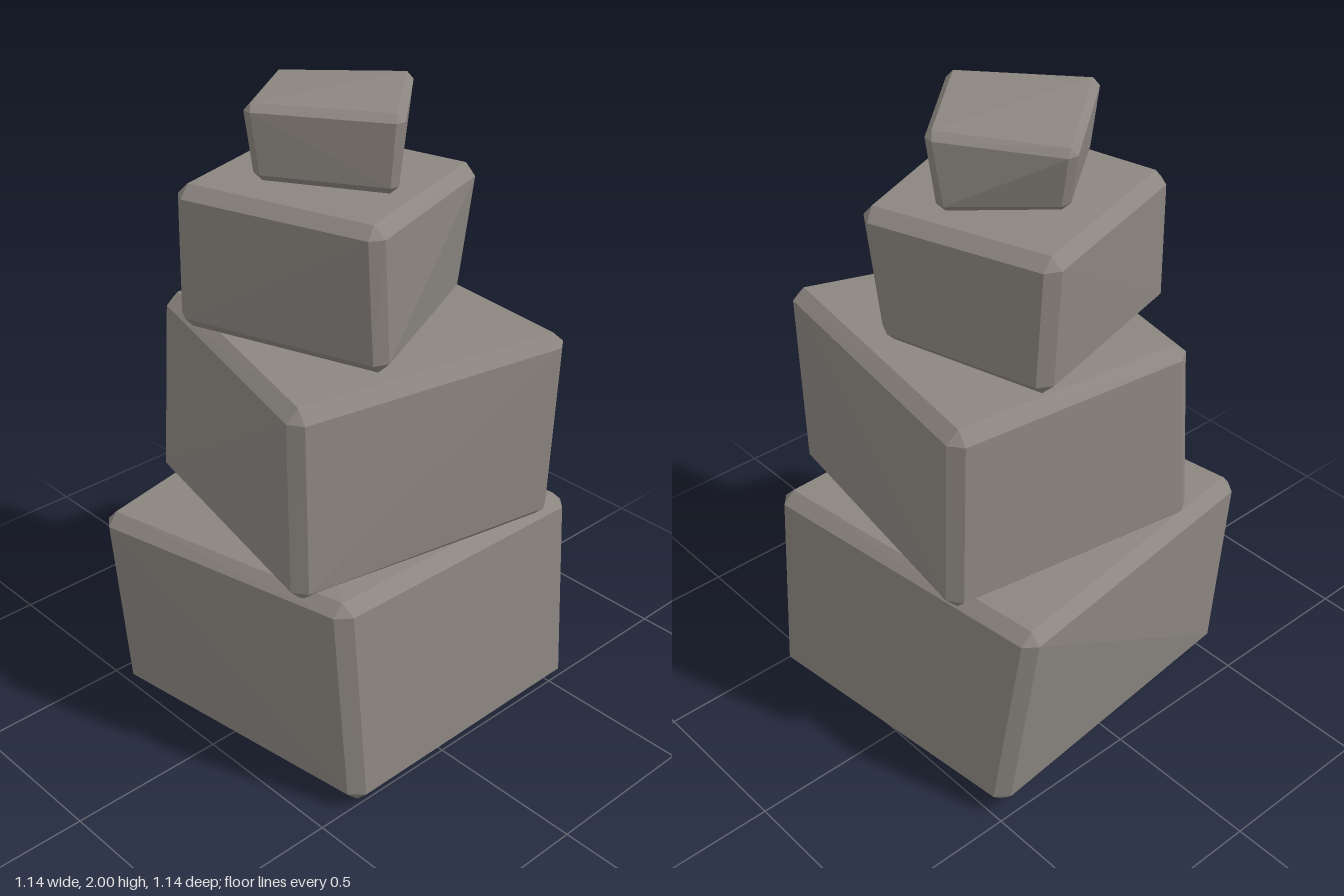
import * as THREE from 'three';
import { ConvexGeometry } from 'three/addons/geometries/ConvexGeometry.js';

// Each stone: bevel width and four upright edges, in order around the stone
// (front left, front right, back right, back left), as [bottom, top] corners.
const STONES = [
  { name: 'bottomStone', bevel: 0.037, edges: [
    [[-0.39, 0.025, 0.535], [-0.42, 0.728, 0.50]],
    [[0.575, 0.0, 0.505], [0.545, 0.698, 0.49]],
    [[0.50, 0.045, -0.50], [0.45, 0.732, -0.58]],
    [[-0.53, 0.045, -0.40], [-0.58, 0.69, -0.41]],
  ] },
  { name: 'lowerMiddleStone', bevel: 0.037, edges: [
    [[-0.47, 0.69, 0.37], [-0.46, 1.285, 0.345]],
    [[0.39, 0.715, 0.55], [0.385, 1.332, 0.58]],
    [[0.525, 0.705, -0.33], [0.505, 1.302, -0.33]],
    [[-0.30, 0.715, -0.465], [-0.27, 1.325, -0.45]],
  ] },
  { name: 'upperMiddleStone', bevel: 0.035, edges: [
    [[-0.19, 1.325, 0.415], [-0.225, 1.765, 0.42]],
    [[0.37, 1.325, 0.155], [0.395, 1.735, 0.20]],
    [[0.23, 1.325, -0.385], [0.215, 1.745, -0.40]],
    [[-0.40, 1.325, -0.22], [-0.39, 1.75, -0.225]],
  ] },
  { name: 'topStone', bevel: 0.022, edges: [
    [[-0.025, 1.765, 0.285], [-0.02, 1.99, 0.302]],
    [[0.275, 1.752, 0.0], [0.295, 1.985, 0.025]],
    [[0.035, 1.772, -0.255], [0.05, 1.965, -0.30]],
    [[-0.26, 1.78, -0.03], [-0.288, 2.0, -0.04]],
  ] },
];

// Bevelled block: every corner becomes three points, one on each face,
// moved along the two edges of that face by the bevel width.
function bevelledBlock(edges, bevel) {
  const corner = (i, level) => new THREE.Vector3(...edges[(i + 4) % 4][level]);
  const points = [];
  for (let i = 0; i < 4; i++) {
    for (let level = 0; level < 2; level++) {
      const here = corner(i, level);
      const [next, previous, upright] = [corner(i + 1, level), corner(i - 1, level), corner(i, 1 - level)]
        .map((other) => other.sub(here).setLength(bevel));
      points.push(
        here.clone().add(next).add(previous),
        here.clone().add(next).add(upright),
        here.clone().add(previous).add(upright),
      );
    }
  }
  return new ConvexGeometry(points);
}

export function createModel() {
  const group = new THREE.Group();
  group.name = 'stackedStones';
  const stone = new THREE.MeshStandardMaterial({ color: 0x8c8680 });
  stone.name = 'warm grey stone';

  for (const { name, bevel, edges } of STONES) {
    const mesh = new THREE.Mesh(bevelledBlock(edges, bevel), stone);
    mesh.name = name;
    group.add(mesh);
  }
  return group;
}
